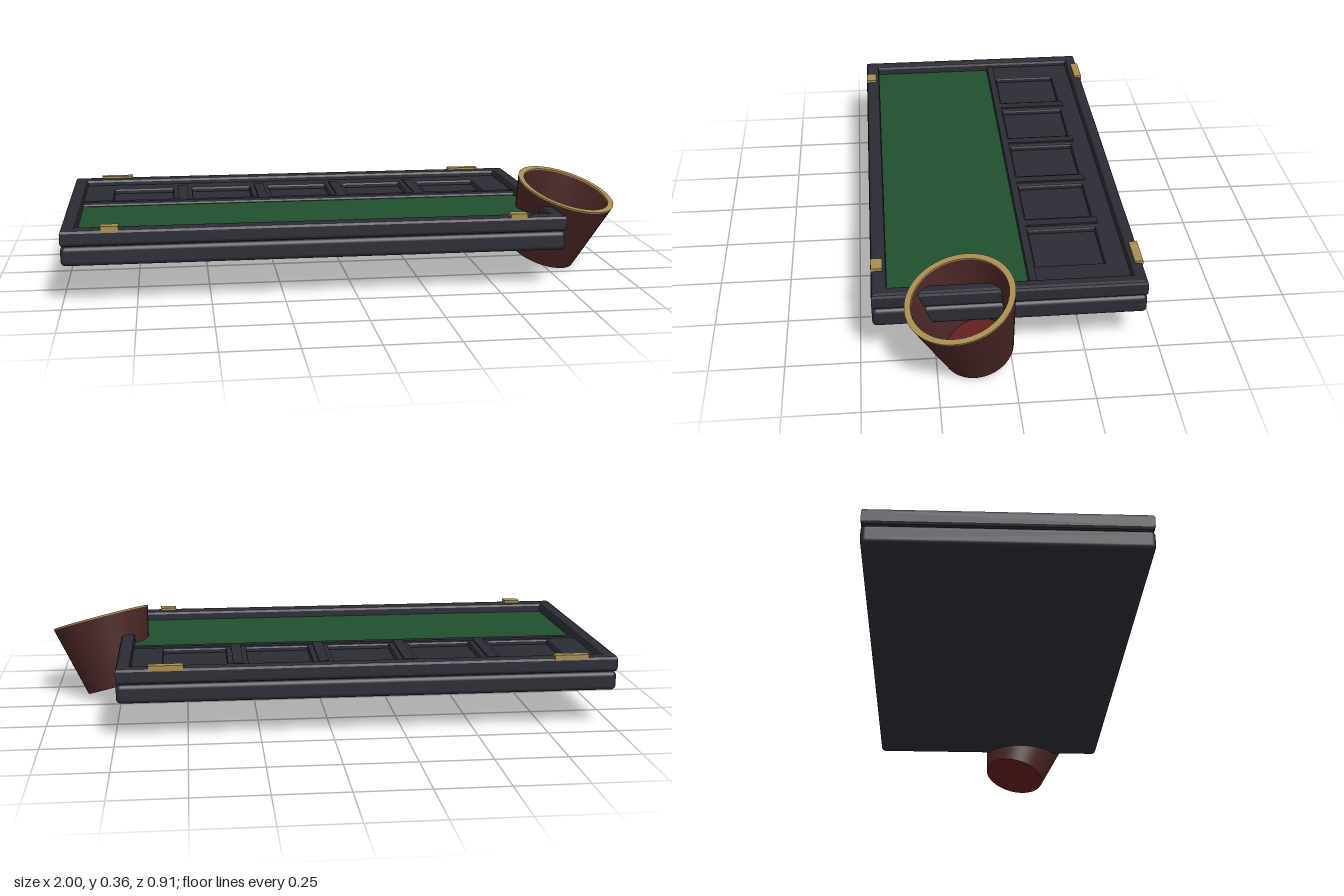
import * as THREE from 'three';
import { RoundedBoxGeometry } from 'three/addons/geometries/RoundedBoxGeometry.js';

const mat = (name, color, side = THREE.FrontSide) => {
  const m = new THREE.MeshStandardMaterial({ color, side });
  m.name = name;
  return m;
};

function rectPath(path, x0, x1, y0, y1) {
  path.moveTo(x0, y0);
  path.lineTo(x1, y0);
  path.lineTo(x1, y1);
  path.lineTo(x0, y1);
  path.closePath();
  return path;
}

// Horizontal plate with rectangular holes and bevelled edges; rects are [x0, x1, z0, z1]
function plate(outer, holes, y0, y1, bevel) {
  const rect = (P, [x0, x1, z0, z1], d) => rectPath(new P(), x0 + d, x1 - d, -z1 + d, -z0 - d);
  const shape = rect(THREE.Shape, outer, bevel);
  holes.forEach((h) => shape.holes.push(rect(THREE.Path, h, -bevel)));
  const g = new THREE.ExtrudeGeometry(shape, {
    depth: y1 - y0 - 2 * bevel, bevelEnabled: true,
    bevelThickness: bevel, bevelSize: bevel, bevelSegments: 2,
  });
  g.rotateX(-Math.PI / 2);
  g.translate(0, y0 + bevel, 0);
  return g;
}

export function createModel() {
  const root = new THREE.Group();
  root.name = 'gameBoxWithCup';
  const wood = mat('darkWood', 0x2b2b35);
  const felt = mat('greenFelt', 0x20502d);
  const brass = mat('brass', 0xa98d50);
  const leather = mat('brownLeather', 0x4a2525);
  const lining = mat('redLining', 0x641d1d);

  const add = (parent, name, geometry, material) => {
    const m = new THREE.Mesh(geometry, material);
    m.name = name;
    parent.add(m);
    return m;
  };
  const box = (name, [x0, x1, z0, z1], y0, y1, material, parent = root) => {
    const m = add(parent, name, new THREE.BoxGeometry(x1 - x0, y1 - y0, z1 - z0), material);
    m.position.set((x0 + x1) / 2, (y0 + y1) / 2, (z0 + z1) / 2);
    return m;
  };

  // Two stacked halves of the case
  const outer = [-1, 0.74, -0.455, 0.455];
  const lower = add(root, 'lowerCase', new RoundedBoxGeometry(1.74, 0.067, 0.91, 3, 0.016), wood);
  lower.position.set(-0.13, 0.1685, 0);
  add(root, 'upperFrame', plate(outer, [[-0.95, 0.69, -0.41, 0.402]], 0.202, 0.26, 0.012), wood);
  box('innerFloor', [-0.96, 0.7, -0.42, 0.415], 0.202, 0.216, wood);

  // Playing surface
  box('feltSurface', [-0.955, 0.695, -0.066, 0.408], 0.216, 0.225, felt);

  // Tray with five pockets
  const pockets = [];
  for (let i = 0; i < 5; i++) {
    const x = -0.73 + i * 0.3;
    pockets.push([x - 0.112, x + 0.112, -0.335, -0.1]);
  }
  const tray = new THREE.Group();
  tray.name = 'pocketTray';
  root.add(tray);
  add(tray, 'trayPlate', plate([-0.96, 0.7, -0.415, -0.066], pockets, 0.21, 0.236, 0.008), wood);
  box('trayRail', [-0.95, 0.69, -0.093, -0.068], 0.23, 0.242, wood, tray);
  for (let i = 0; i < 4; i++) {
    const x = -0.58 + i * 0.3;
    box('pocketDivider', [x - 0.018, x + 0.018, -0.35, -0.093], 0.23, 0.242, wood, tray);
  }

  // Brass hinges at the back, latches at the front
  for (const x of [-0.835, 0.57]) {
    box('hinge', [x - 0.06, x + 0.06, -0.456, -0.427], 0.25, 0.268, brass);
    box('latch', [x - 0.03, x + 0.03, 0.415, 0.454], 0.25, 0.27, brass);
  }

  // Tilted dice cup, modelled with the rim centre at its origin
  const cup = new THREE.Group();
  cup.name = 'diceCup';
  const lathe = (points) => new THREE.LatheGeometry(points.map(([r, y]) => new THREE.Vector2(r, y)), 48);
  add(cup, 'cupOuterWall', lathe([[0.12, -0.27], [0.182, -0.006]]), leather);
  add(cup, 'cupInnerWall', lathe([[0.162, -0.006], [0.106, -0.25]]), leather);
  add(cup, 'cupRimEdge', lathe([[0.182, -0.006], [0.183, 0]]), brass);
  add(cup, 'cupRimInnerEdge', lathe([[0.162, 0], [0.162, -0.006]]), brass);
  const rim = add(cup, 'cupRim', new THREE.RingGeometry(0.162, 0.183, 48), brass);
  rim.rotation.x = -Math.PI / 2;
  const inside = add(cup, 'cupInnerFloor', new THREE.CircleGeometry(0.106, 48), lining);
  inside.rotation.x = -Math.PI / 2;
  inside.position.y = -0.25;
  const base = add(cup, 'cupBase', new THREE.CircleGeometry(0.12, 48), lining);
  base.rotation.x = Math.PI / 2;
  base.position.y = -0.27;
  cup.quaternion.setFromUnitVectors(
    new THREE.Vector3(0, 1, 0), new THREE.Vector3(0.25, 1, 0.25).normalize());
  cup.position.set(0.822, 0.295, 0.173);
  root.add(cup);

  return root;
}
